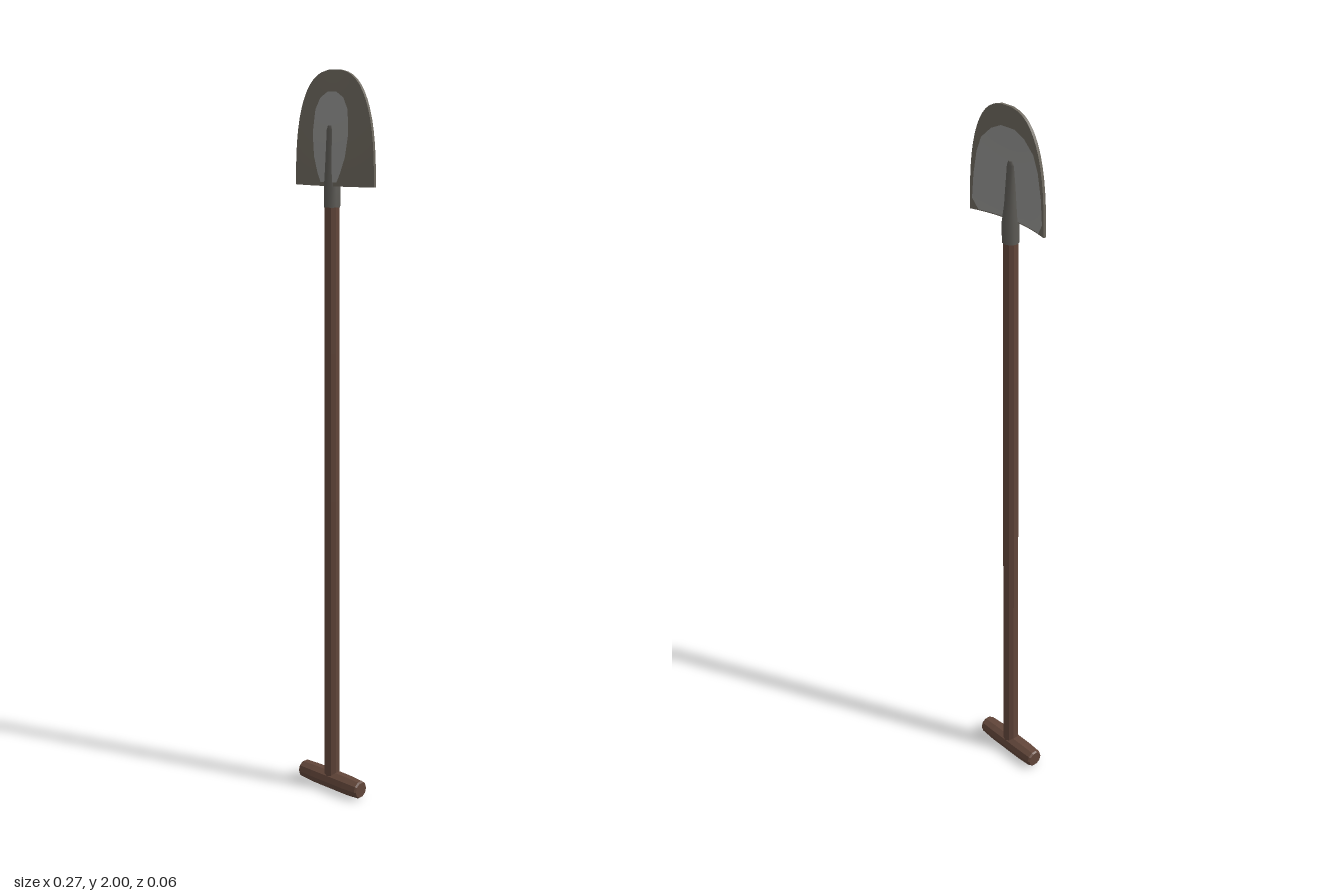
import * as THREE from 'three';

const flat = (name, color, opts = {}) => {
  const m = new THREE.MeshStandardMaterial({ color, ...opts });
  m.name = name;
  return m;
};

// Blade shape: base height, length, half width and thickness
const BASE = 1.705, LEN = 0.295, HALF = 0.137, THICK = 0.008;
const halfWidth = (t) => Math.max(0.02, HALF * Math.pow(Math.max(0, 1 - Math.pow(t, 2.6)), 1 / 2.6));

// Front surface of the cupped blade, bulging toward +z in the lower middle
function bladeZ(x, y) {
  const t = THREE.MathUtils.clamp((y - BASE) / LEN, 0, 1);
  const u = x / halfWidth(t);
  return -0.008 + 0.022 * (1 - t * t) * (1 - u * u);
}

// Bends a box into the rounded blade
function bladeGeometry() {
  const g = new THREE.BoxGeometry(2, 1, 1, 16, 14, 1);
  const p = g.attributes.position;
  for (let i = 0; i < p.count; i++) {
    const s = p.getY(i) + 0.5;
    const t = 1 - (1 - s) ** 2;
    const x = p.getX(i) * halfWidth(t), y = BASE + LEN * t;
    p.setXYZ(i, x, y, bladeZ(x, y) - (p.getZ(i) > 0 ? 0 : THICK));
  }
  g.computeVertexNormals();
  return g;
}

// Thin worn area following the blade; rows are [height, half width], top first
function wornGeometry(rows, back) {
  const g = new THREE.PlaneGeometry(2, 1, 14, rows.length - 1);
  const p = g.attributes.position;
  for (let i = 0; i < p.count; i++) {
    const [y, w] = rows[Math.floor(i / 15)];
    const x = p.getX(i) * w * (back ? -1 : 1);
    p.setXYZ(i, x, y, bladeZ(x, y) + (back ? -THICK - 0.0012 : 0.0012));
  }
  g.computeVertexNormals();
  return g;
}

// Tapered socket; rows are [height, half width, front z, back z], top first
function socketGeometry(rows) {
  const sides = 10;
  const g = new THREE.CylinderGeometry(1, 1, 1, sides, rows.length - 1);
  const p = g.attributes.position;
  for (let i = 0; i < p.count; i++) {
    const k = Math.round((0.5 - p.getY(i)) * (rows.length - 1));
    const [y, w, front, back] = rows[k];
    p.setXYZ(i, p.getX(i) * w, y, (front + back) / 2 + p.getZ(i) * (front - back) / 2);
  }
  g.computeVertexNormals();
  return g;
}

export function createModel() {
  const group = new THREE.Group();
  group.name = 'shovel';
  const wood = flat('brown wood', 0x62463a, { flatShading: true });
  const steel = flat('worn steel', 0x929290);
  const tarnish = flat('tarnished steel', 0x6c675d);
  const iron = flat('dark iron', 0x5c5a55);

  const add = (name, geometry, material) => {
    const mesh = new THREE.Mesh(geometry, material);
    mesh.name = name;
    group.add(mesh);
    return mesh;
  };

  // Long wooden shaft
  const shaft = add('shaft', new THREE.CylinderGeometry(0.0195, 0.0225, 1.63, 10, 4), wood);
  shaft.position.y = 0.855;

  // Cross grip, slightly barrelled with chamfered ends
  const profile = [[0, -0.11], [0.022, -0.11], [0.0255, -0.105], [0.028, -0.06],
    [0.028, 0.06], [0.0255, 0.105], [0.022, 0.11], [0, 0.11]]
    .map(([r, y]) => new THREE.Vector2(r, y));
  const grip = add('grip', new THREE.LatheGeometry(profile, 10), wood);
  grip.rotation.z = Math.PI / 2;
  grip.position.y = 0.028;

  // Blade with worn steel on both faces
  add('blade', bladeGeometry(), tarnish);
  add('frontWear', wornGeometry([[1.945, 0.015], [1.93, 0.04], [1.9, 0.056],
    [1.84, 0.062], [1.78, 0.054], [1.74, 0.04], [1.715, 0.028]], false), steel);
  add('backWear', wornGeometry([[1.945, 0.025], [1.93, 0.06], [1.9, 0.095],
    [1.86, 0.112], [1.8, 0.124], [1.735, 0.13], [1.708, 0.112]], true), steel);

  // Socket clasping the shaft and running up both sides of the blade
  add('socket', socketGeometry([[1.86, 0.009, 0.011, -0.005], [1.85, 0.013, 0.014, -0.008],
    [1.75, 0.018, 0.019, -0.016], [1.7, 0.022, 0.022, -0.024], [1.65, 0.022, 0.022, -0.022]]), iron);

  return group;
}
